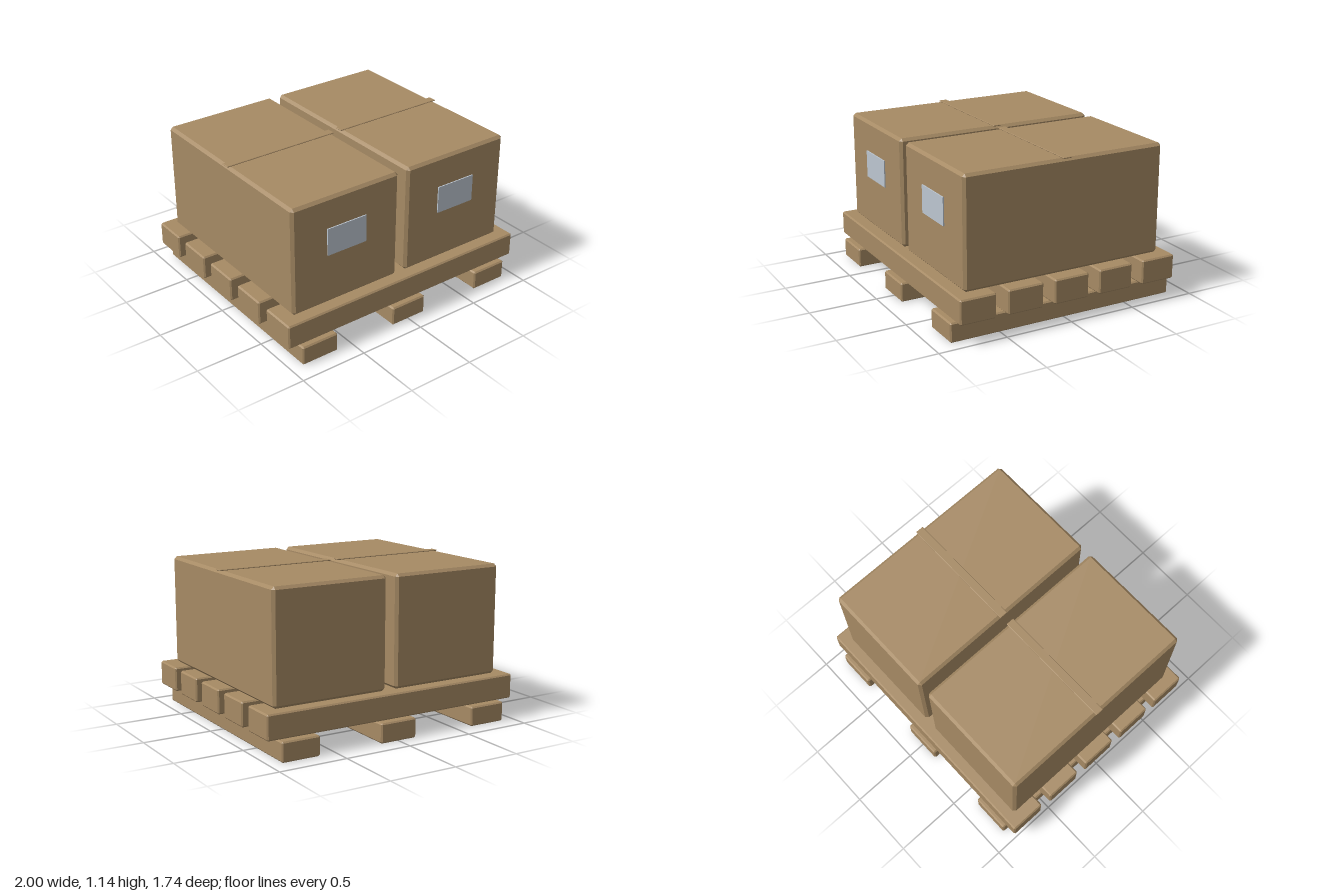
import * as THREE from 'three';
import { ConvexGeometry } from 'three/addons/geometries/ConvexGeometry.js';

// Box with a flat 45 degree chamfer of size c on every edge
function chamferBox(w, h, d, c) {
  const points = [];
  for (const sx of [-1, 1]) for (const sy of [-1, 1]) for (const sz of [-1, 1]) {
    const x = w / 2, y = h / 2, z = d / 2;
    points.push(
      new THREE.Vector3(sx * x, sy * (y - c), sz * (z - c)),
      new THREE.Vector3(sx * (x - c), sy * y, sz * (z - c)),
      new THREE.Vector3(sx * (x - c), sy * (y - c), sz * z)
    );
  }
  return new ConvexGeometry(points);
}

export function createModel() {
  const model = new THREE.Group();
  model.name = 'loadedPallet';

  const cardboard = new THREE.MeshStandardMaterial({ color: 0xa68a64 });
  cardboard.name = 'cardboardAndWood';
  const paper = new THREE.MeshStandardMaterial({ color: 0xbcc6d0 });
  paper.name = 'labelPaper';

  const add = (parent, name, geometry, material, x, y, z) => {
    const mesh = new THREE.Mesh(geometry, material);
    mesh.name = name;
    mesh.position.set(x, y, z);
    parent.add(mesh);
  };

  // Pallet: three runners front to back, five slats across
  const pallet = new THREE.Group();
  pallet.name = 'pallet';
  const runner = chamferBox(0.286, 0.142, 1.74, 0.01);
  for (const x of [-0.765, 0, 0.765]) add(pallet, 'runner', runner, cardboard, x, 0.076 - 0.005, 0);
  const slat = chamferBox(2, 0.178, 0.267, 0.01);
  for (let i = -2; i <= 2; i++) add(pallet, 'slat', slat, cardboard, 0, 0.241, i * 0.355);
  model.add(pallet);

  // Two cartons, each with a tape strip on top and a label in front
  const carton = chamferBox(0.87, 0.8, 1.53, 0.02);
  const tape = chamferBox(0.885, 0.009, 0.062, 0.003);
  const label = new THREE.BoxGeometry(0.316, 0.2, 0.009);
  for (const side of [-1, 1]) {
    const group = new THREE.Group();
    group.name = side > 0 ? 'leftCarton' : 'rightCarton';
    group.position.x = side * 0.473;
    add(group, 'carton', carton, cardboard, 0, 0.731, 0);
    add(group, 'tape', tape, cardboard, 0, 1.134, 0);
    add(group, 'label', label, paper, 0, 0.805, 0.769);
    model.add(group);
  }
  return model;
}
